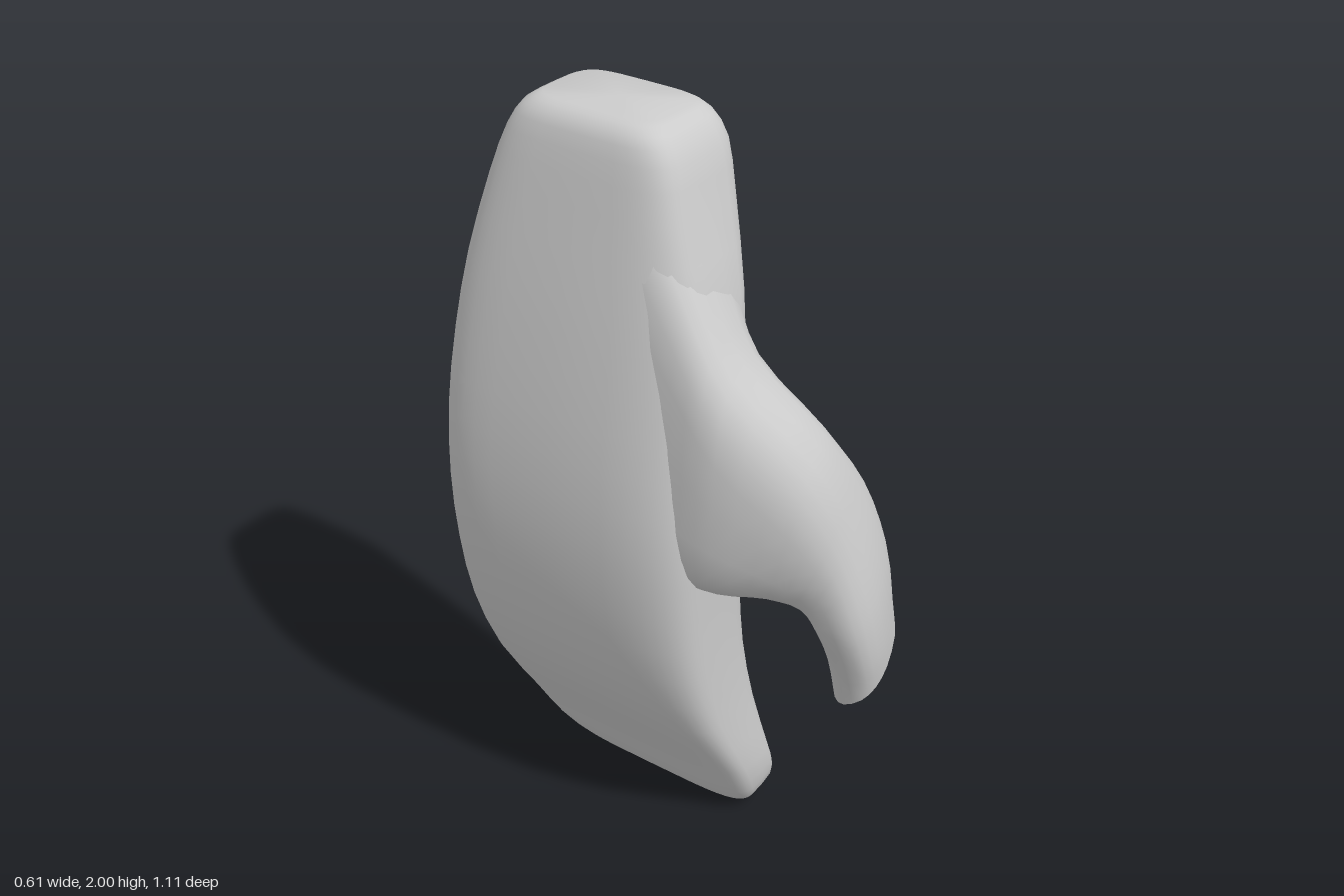
import * as THREE from 'three';
import { toCreasedNormals } from 'three/addons/utils/BufferGeometryUtils.js';

// The thumb ends in an open rim, so its inside shows too
const material = new THREE.MeshStandardMaterial({ color: 0xcccccc, side: THREE.DoubleSide });

// Smooth interpolation of every column of a short table
function refine(rows, steps) {
  const out = [], n = rows.length - 1;
  for (let k = 0; k <= n * steps; k++) {
    const i = Math.min(Math.floor(k / steps), n - 1), t = k / steps - i;
    const p = rows[Math.max(i - 1, 0)], a = rows[i], b = rows[i + 1], q = rows[Math.min(i + 2, n)];
    out.push(a.map((v, c) => {
      const m0 = (b[c] - p[c]) / 2, m1 = (q[c] - v) / 2;
      const t2 = t * t, t3 = t2 * t;
      return v * (2 * t3 - 3 * t2 + 1) + m0 * (t3 - 2 * t2 + t) + b[c] * (3 * t2 - 2 * t3) + m1 * (t3 - t2);
    }));
  }
  return out;
}

// Unit superellipse: larger power means squarer corners
function superellipse(j, sides, power) {
  const a = (j / sides) * Math.PI * 2;
  const f = (v) => Math.sign(v) * Math.pow(Math.abs(v), 2 / power);
  return [f(Math.cos(a)), f(Math.sin(a))];
}

// Skin over closed rings, with optional end caps
function loft(rings, creaseAngle, capped) {
  const pos = [], index = [], n = rings[0].length, last = (rings.length - 1) * n;
  rings.forEach((ring) => ring.forEach((p) => pos.push(p.x, p.y, p.z)));
  for (let i = 0; i < rings.length - 1; i++) {
    for (let j = 0; j < n; j++) {
      const a = i * n + j, b = i * n + (j + 1) % n;
      index.push(a, a + n, b + n, a, b + n, b);
    }
  }
  if (capped) {
    const centres = [rings[0], rings[rings.length - 1]].map((ring) => {
      const c = ring.reduce((s, p) => s.add(p), new THREE.Vector3()).divideScalar(n);
      pos.push(c.x, c.y, c.z);
      return pos.length / 3 - 1;
    });
    for (let j = 0; j < n; j++) {
      const k = (j + 1) % n;
      index.push(centres[0], j, k, centres[1], last + k, last + j);
    }
  }
  const g = new THREE.BufferGeometry();
  g.setAttribute('position', new THREE.Float32BufferAttribute(pos, 3));
  g.setIndex(index);
  return toCreasedNormals(g, creaseAngle);
}

// Padded slab: y, x min, x max, z min, z max, front pinch, tilt
function palmGeometry() {
  const rows = [
    [0.011, 0.09, 0.205, -0.36, 0.12, 0, 0.2],
    [0.042, 0.06, 0.222, -0.43, 0.17, 0, 0.2],
    [0.10, 0.02, 0.214, -0.48, 0.195, 0, 0.15],
    [0.20, -0.04, 0.18, -0.515, 0.205, 0, 0],
    [0.40, -0.16, 0.138, -0.54, 0.194, 0.01, 0],
    [0.60, -0.24, 0.115, -0.55, 0.19, 0.03, 0],
    [0.80, -0.285, 0.112, -0.55, 0.193, 0.05, 0],
    [1.00, -0.306, 0.116, -0.547, 0.2, 0.06, 0],
    [1.20, -0.302, 0.123, -0.54, 0.2, 0.07, 0],
    [1.40, -0.28, 0.13, -0.52, 0.2, 0.08, 0],
    [1.60, -0.25, 0.131, -0.485, 0.182, 0.07, 0],
    [1.80, -0.212, 0.126, -0.43, 0.128, 0.02, 0],
    [1.92, -0.187, 0.116, -0.385, 0.098, 0, 0],
    [1.98, -0.165, 0.10, -0.345, 0.06, 0, 0],
    [2.00, -0.13, 0.08, -0.31, 0.02, 0, 0],
  ];
  const sides = 40;
  return loft(refine(rows, 2).map(([y, x0, x1, z0, z1, pinch, tilt]) =>
    Array.from({ length: sides }, (_, j) => {
      const [u, v] = superellipse(j, sides, 4.5);
      // The front edge narrows, mostly on the palm side
      const squeeze = pinch * (u > 0 ? 1.1 : 0.4) * Math.max(0, v) ** 2;
      const dx = u * ((x1 - x0) / 2 - squeeze);
      return new THREE.Vector3((x0 + x1) / 2 + dx, y + tilt * dx, (z0 + z1) / 2 + v * (z1 - z0) / 2);
    })), 0.65, true);
}

// Thumb sections: outer edge point, inner edge point, half width vector, squareness
function thumbGeometry() {
  const rows = [
    [-0.08, 1.86, 0.05, -0.12, 0.92, -0.02, 0.14, 0.00, 0.00, 3.6],
    [-0.10, 1.67, 0.155, -0.11, 0.89, 0.12, 0.14, 0.01, -0.01, 3.4],
    [-0.11, 1.49, 0.26, -0.085, 0.875, 0.22, 0.137, 0.02, -0.025, 2.9],
    [-0.04, 1.30, 0.42, -0.02, 0.88, 0.295, 0.128, 0.05, -0.045, 2.5],
    [0.05, 1.10, 0.487, 0.06, 0.855, 0.335, 0.14, 0.06, -0.05, 2.4],
    [0.10, 0.90, 0.53, 0.10, 0.80, 0.355, 0.145, 0.06, -0.05, 2.4],
    [0.14, 0.74, 0.535, 0.145, 0.68, 0.365, 0.135, 0.05, -0.05, 2.4],
    [0.19, 0.63, 0.52, 0.165, 0.54, 0.38, 0.126, 0.045, -0.045, 2.4],
  ];
  const sides = 24;
  return loft(refine(rows, 3).map((r) => {
    const outer = new THREE.Vector3(r[0], r[1], r[2]);
    const inner = new THREE.Vector3(r[3], r[4], r[5]);
    const across = new THREE.Vector3(r[6], r[7], r[8]);
    const centre = outer.clone().add(inner).multiplyScalar(0.5);
    const depth = inner.clone().sub(outer).multiplyScalar(0.5);
    return Array.from({ length: sides }, (_, j) => {
      const [u, v] = superellipse(j, sides, r[9]);
      return centre.clone().addScaledVector(across, u).addScaledVector(depth, v);
    });
  }), 0.8, false);
}

export function createModel() {
  const mitten = new THREE.Group();
  mitten.name = 'mitten';
  const parts = { palm: palmGeometry(), thumb: thumbGeometry() };
  for (const [name, geometry] of Object.entries(parts)) {
    const mesh = new THREE.Mesh(geometry, material);
    mesh.name = name;
    mitten.add(mesh);
  }
  return mitten;
}
